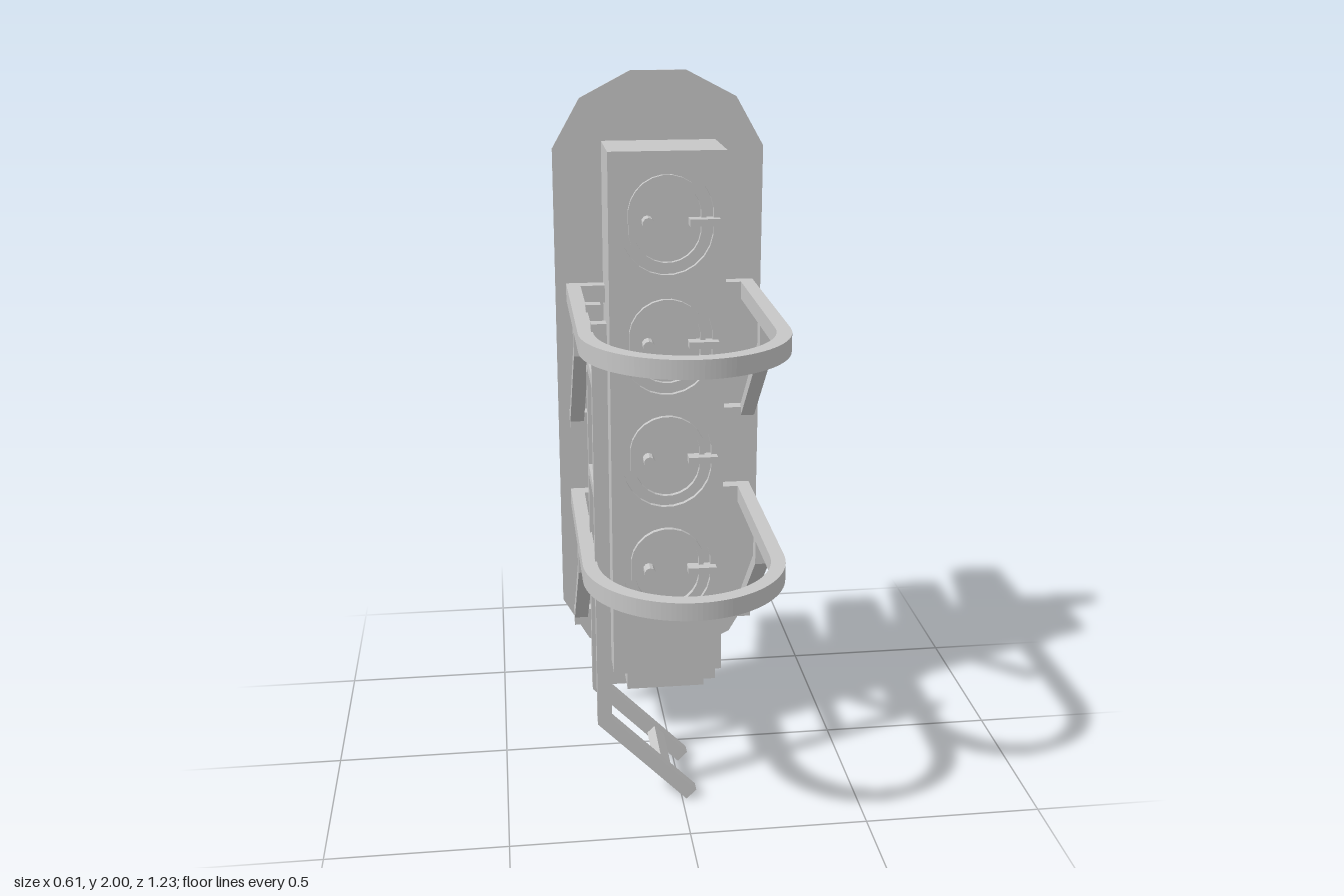
import * as THREE from 'three';

const grey = new THREE.MeshStandardMaterial({ color: 0xc6c6c6 });
grey.name = 'light grey metal';
grey.flatShading = true;
grey.side = THREE.DoubleSide;

const V = (x, y) => new THREE.Vector2(x, y);

function add(parent, name, geometry, x = 0, y = 0, z = 0) {
  const mesh = new THREE.Mesh(geometry, grey);
  mesh.name = name;
  mesh.position.set(x, y, z);
  parent.add(mesh);
  return mesh;
}

// Box given by its lower and upper limits on each axis
function block(parent, name, x0, x1, y0, y1, z0, z1) {
  return add(parent, name, new THREE.BoxGeometry(x1 - x0, y1 - y0, z1 - z0),
    (x0 + x1) / 2, (y0 + y1) / 2, (z0 + z1) / 2);
}

function extrude(shape, depth) {
  return new THREE.ExtrudeGeometry(shape, { depth, bevelEnabled: false, curveSegments: 32 });
}

// Slightly tall round outline: two half circles 0.04 apart
function oval(r, cy) {
  const points = [];
  for (let i = 0; i < 24; i++) {
    const a = (i + 0.5) / 24 * Math.PI * 2;
    points.push(V(r * Math.cos(a), cy + r * Math.sin(a) + (i < 12 ? 0.02 : -0.02)));
  }
  return points;
}

// Sun hood: a faceted tube, cut by a plane that rises towards the tip
function hoodGeometry() {
  const base = [[-0.13, 0.05], [-0.098, 0.105], [-0.037, 0.144], [0.037, 0.144], [0.098, 0.105], [0.13, 0.05]];
  const tip = [[-0.096, 0.107], [-0.093, 0.109], [-0.037, 0.144], [0.037, 0.144], [0.093, 0.109], [0.096, 0.107]];
  const pos = [], index = [];
  base.forEach((b, i) => {
    pos.push(b[0], b[1], -0.265, tip[i][0], tip[i][1], -0.615);
    if (i) index.push(2 * i - 2, 2 * i, 2 * i - 1, 2 * i - 1, 2 * i, 2 * i + 1);
  });
  const g = new THREE.BufferGeometry();
  g.setAttribute('position', new THREE.Float32BufferAttribute(pos, 3));
  g.setIndex(index);
  g.computeVertexNormals();
  return g;
}

export function createModel() {
  const model = new THREE.Group();
  model.name = 'lightSignal';
  const lampHeights = [1.61, 1.26, 0.913, 0.562];

  // Housing with recessed door rings
  block(model, 'housing', -0.165, 0.165, 0.22, 1.805, -0.26, -0.05);
  const face = new THREE.Shape([V(-0.165, 0.22), V(0.165, 0.22), V(0.165, 1.805), V(-0.165, 1.805)]);
  lampHeights.forEach(y => face.holes.push(new THREE.Path(oval(0.13, y))));
  add(model, 'doorPanel', extrude(face, 0.015), 0, 0, -0.05);
  block(model, 'junctionBox', -0.12, 0.118, 0.142, 0.22, -0.26, -0.08);

  // Backing board with clipped ends
  const right = [[0.12, 0.18], [0.225, 0.235], [0.305, 0.375], [0.305, 1.785], [0.225, 1.925], [0.08, 2.0]];
  const outline = right.map(p => V(...p)).concat(right.slice().reverse().map(p => V(-p[0], p[1])));
  add(model, 'backingBoard', extrude(new THREE.Shape(outline), 0.006), 0, 0, -0.265);
  block(model, 'signPlate', -0.183, 0.183, 0.06, 0.25, -0.272, -0.266);

  // Lamps: door ring, knob and latch in front, lens and hood behind
  const hood = hoodGeometry();
  const ringShape = new THREE.Shape(oval(0.11, 0));
  ringShape.holes.push(new THREE.Path(oval(0.095, 0)));
  const ring = extrude(ringShape, 0.015);
  const knob = new THREE.CylinderGeometry(0.017, 0.017, 0.04, 10).rotateX(Math.PI / 2);
  const lens = new THREE.CylinderGeometry(0.1, 0.1, 0.012, 24).rotateX(Math.PI / 2);
  lampHeights.forEach(y => {
    const lamp = new THREE.Group();
    lamp.name = 'lamp';
    lamp.position.y = y;
    add(lamp, 'doorRing', ring, 0, 0, -0.05);
    add(lamp, 'knob', knob, -0.055, 0, -0.03);
    block(lamp, 'latch', 0.06, 0.145, -0.01, 0.01, -0.05, -0.01);
    add(lamp, 'lens', lens, 0, 0, -0.27);
    add(lamp, 'hood', hood);
    model.add(lamp);
  });

  // Safety hoops: U-shaped bands with ends turned in to the housing
  const hoopShape = new THREE.Shape();
  hoopShape.moveTo(0.165, -0.23).lineTo(0.275, -0.23).lineTo(0.275, 0.34);
  hoopShape.absarc(0, 0.34, 0.275, 0, Math.PI, false);
  hoopShape.lineTo(-0.275, -0.23).lineTo(-0.165, -0.23).lineTo(-0.165, -0.19)
    .lineTo(-0.235, -0.19).lineTo(-0.235, 0.34);
  hoopShape.absarc(0, 0.34, 0.235, Math.PI, 0, true);
  hoopShape.lineTo(0.235, -0.19).lineTo(0.165, -0.19);
  const hoop = extrude(hoopShape, 0.05).rotateX(Math.PI / 2);

  // Diagonal brace profile drawn in z and y below the hoop
  const braceShape = new THREE.Shape([V(0.13, 0), V(0.13, -0.07), V(-0.155, -0.35),
    V(-0.155, -0.375), V(-0.195, -0.375), V(-0.195, -0.324), V(-0.172, -0.324), V(0.093, -0.058), V(0.093, 0)]);
  const brace = extrude(braceShape, 0.04).rotateY(-Math.PI / 2);

  [1.4, 0.76].forEach(top => {
    const guard = new THREE.Group();
    guard.name = 'safetyHoop';
    guard.position.y = top;
    add(guard, 'hoopBand', hoop);
    [-1, 1].forEach(side => {
      add(guard, 'brace', brace, side > 0 ? 0.275 : -0.235, -0.05);
      const foot = block(guard, 'braceFoot', 0.165, 0.237, -0.425, -0.374, -0.195, -0.155);
      foot.position.x *= side;
    });
    model.add(guard);
  });

  // Ladder with its foot bent in under the housing
  const ladder = new THREE.Group();
  ladder.name = 'ladder';
  const stile = extrude(new THREE.Shape([V(-0.24, 1.42), V(-0.24, 0.26), V(0.012, 0),
    V(0.04, 0.028), V(-0.2, 0.275), V(-0.2, 1.42)]), 0.034);
  [0.088, 0.293].forEach(z => add(ladder, 'stile', stile, 0, 0, z));
  [1.26, 0.95, 0.64].forEach(y => block(ladder, 'rung', -0.24, -0.2, y - 0.016, y + 0.016, 0.12, 0.295));
  const low = add(ladder, 'bottomRung', new THREE.BoxGeometry(0.03, 0.04, 0.175), -0.055, 0.1, 0.2075);
  low.rotation.z = Math.PI / 4;
  model.add(ladder);

  return model;
}
